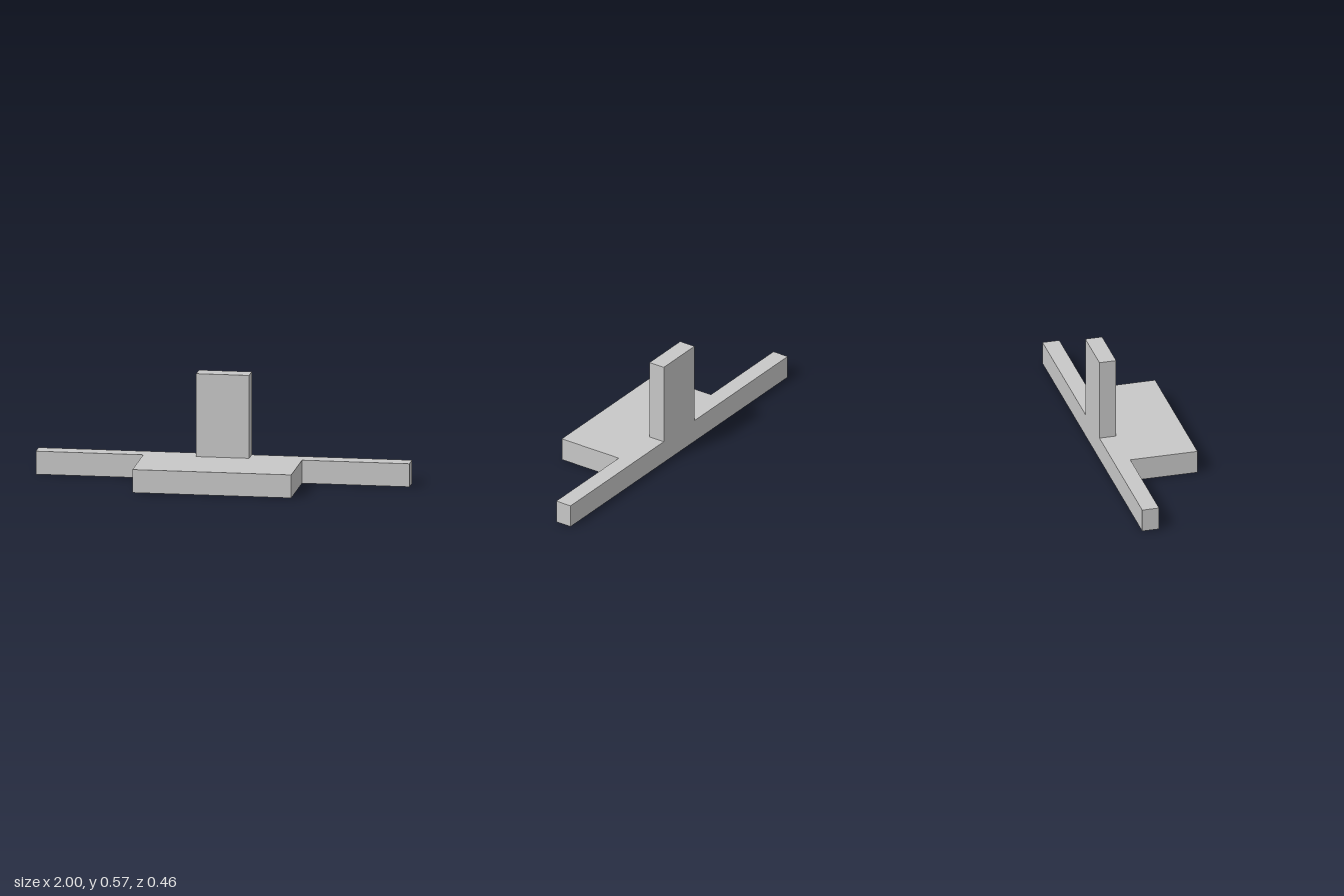
import * as THREE from 'three';

export function createModel() {
  const group = new THREE.Group();
  const grey = new THREE.MeshStandardMaterial({ color: 0xc7c7c7 });
  grey.name = 'light grey';

  const back = -0.23, barFront = -0.138, front = 0.23;
  const baseHeight = 0.125, topHeight = 0.574;

  // T-shaped base: long rear bar with a wide foot to the front (plan points are x, z)
  const plan = [
    [-1, back], [-1, barFront], [-0.425, barFront], [-0.425, front],
    [0.425, front], [0.425, barFront], [1, barFront], [1, back],
  ];
  const shape = new THREE.Shape(plan.map(([x, z]) => new THREE.Vector2(x, -z)));
  const baseGeometry = new THREE.ExtrudeGeometry(shape, { depth: baseHeight, bevelEnabled: false });
  baseGeometry.rotateX(-Math.PI / 2);
  const base = new THREE.Mesh(baseGeometry, grey);
  base.name = 'base';
  group.add(base);

  // Upright post, flush with the back of the bar
  const post = new THREE.Mesh(
    new THREE.BoxGeometry(0.283, topHeight - baseHeight, barFront - back), grey);
  post.position.set(0, (topHeight + baseHeight) / 2, (barFront + back) / 2);
  post.name = 'post';
  group.add(post);

  return group;
}
